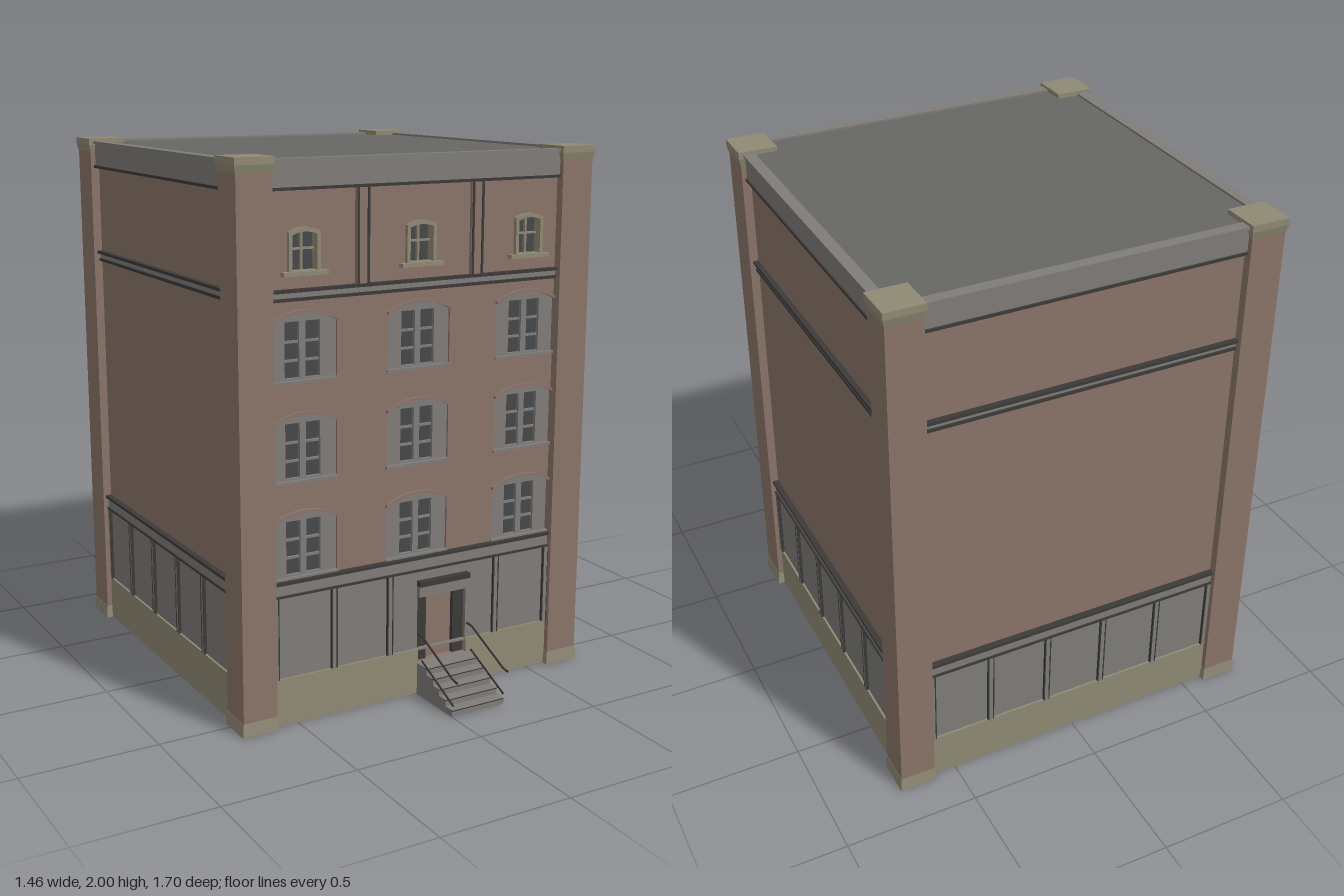
import * as THREE from 'three';

const mat = (color) => new THREE.MeshStandardMaterial({ color, roughness: 0.9, flatShading: true });
const brick = mat(0x8a7468), stone = mat(0x8f8a74), grey = mat(0x7f7c79);
const slate = mat(0x666664), dark = mat(0x3c3b39), iron = mat(0x333333), glass = mat(0x45484a);

const H = 0.69;      // half width of the square block, to the wall face
const INNER = 0.59;  // half width of a wall between the corner posts
const DOOR_X = 0.112;

function add(parent, name, geometry, material) {
  const m = new THREE.Mesh(geometry, material);
  m.name = name;
  parent.add(m);
  return m;
}

// box given by its limits on each axis
function block(parent, name, material, x0, x1, y0, y1, z0, z1) {
  const m = add(parent, name, new THREE.BoxGeometry(x1 - x0, y1 - y0, z1 - z0), material);
  m.position.set((x0 + x1) / 2, (y0 + y1) / 2, (z0 + z1) / 2);
  return m;
}

// rectangle whose top rises in a shallow arch
function archOutline(Type, cx, halfW, y0, ySide, yTop) {
  const s = new Type();
  s.moveTo(cx - halfW, y0);
  s.lineTo(cx + halfW, y0);
  s.lineTo(cx + halfW, ySide);
  if (yTop > ySide) s.quadraticCurveTo(cx, 2 * yTop - ySide, cx - halfW, ySide);
  else s.lineTo(cx - halfW, ySide);
  s.closePath();
  return s;
}

function slab(parent, name, material, shape, holes, z0, z1) {
  shape.holes = holes;
  const g = new THREE.ExtrudeGeometry(shape, { depth: z1 - z0, bevelEnabled: false, curveSegments: 8 });
  add(parent, name, g, material).position.z = z0;
}

// large arched window set in the wall
function archedWindow(parent, x, y) {
  const w = new THREE.Group();
  w.name = 'archedWindow';
  w.position.set(x, y, 0);
  const panes = [-1, 1].map((s) => archOutline(THREE.Path, s * 0.04, 0.028, 0.01, 0.205, 0.205));
  slab(w, 'windowSurround', grey, archOutline(THREE.Shape, 0, 0.13, 0, 0.2, 0.235), panes, 0.668, 0.682);
  block(w, 'windowGlass', glass, -0.08, 0.08, 0, 0.21, 0.655, 0.663);
  for (const by of [0.065, 0.13]) block(w, 'glazingBar', grey, -0.07, 0.07, by, by + 0.008, 0.663, 0.674);
  // thin hood following the arch
  const hood = new THREE.Shape();
  hood.moveTo(-0.133, 0.2);
  hood.quadraticCurveTo(0, 0.27, 0.133, 0.2);
  hood.lineTo(0.133, 0.21);
  hood.quadraticCurveTo(0, 0.282, -0.133, 0.21);
  hood.closePath();
  slab(w, 'windowHood', brick, hood, [], 0.67, 0.702);
  block(w, 'windowSill', grey, -0.133, 0.133, -0.006, 0.004, 0.67, 0.698);
  parent.add(w);
}

// small framed window of the top storey
function atticWindow(parent, x) {
  const w = new THREE.Group();
  w.name = 'atticWindow';
  w.position.set(x, 1.61, 0);
  const opening = archOutline(THREE.Path, 0, 0.047, 0.008, 0.128, 0.138);
  slab(w, 'atticFrame', stone, archOutline(THREE.Shape, 0, 0.06, 0, 0.138, 0.153), [opening], 0.665, 0.705);
  block(w, 'atticGlass', glass, -0.05, 0.05, 0, 0.14, 0.655, 0.668);
  block(w, 'atticMullion', stone, -0.004, 0.004, 0, 0.136, 0.668, 0.68);
  block(w, 'atticBar', stone, -0.05, 0.05, 0.076, 0.083, 0.668, 0.68);
  block(w, 'atticSill', stone, -0.085, 0.085, -0.008, 0.006, 0.67, 0.715);
  parent.add(w);
}

// mouldings shared by all four sides
function sideTrim(parent) {
  const bands = [
    ['lowerCornice', grey, 0.48, 0.53, 0.702], ['lowerCorniceEdge', dark, 0.478, 0.486, 0.708],
    ['lowerCorniceTop', dark, 0.526, 0.537, 0.713], ['upperBand', grey, 1.522, 1.555, 0.697],
    ['upperBandEdge', dark, 1.517, 1.528, 0.703], ['upperBandTop', dark, 1.547, 1.558, 0.71],
    ['parapet', grey, 1.89, 1.985, 0.705], ['parapetEdge', dark, 1.886, 1.896, 0.711],
    ['parapetCoping', grey, 1.98, 1.99, 0.713],
  ];
  for (const [name, m, y0, y1, z] of bands) block(parent, name, m, -INNER, INNER, y0, y1, 0.67, z);
  for (let i = 0; i < 6; i++) {
    if (parent.name === 'frontSide' && i === 3) continue; // the doorway takes this place
    const x = -0.583 + i * 0.2332;
    block(parent, 'panelStrip', grey, x - 0.011, x + 0.011, 0.175, 0.48, 0.67, 0.704);
    for (const s of [-1, 1]) block(parent, 'panelStripEdge', dark, x + s * 0.01 - 0.002, x + s * 0.01 + 0.002, 0.175, 0.48, 0.67, 0.706);
  }
}

function plainSide(parent) {
  block(parent, 'wall', brick, -0.66, 0.66, 0, 1.98, 0.66, H);
  block(parent, 'plinth', stone, -INNER, INNER, 0, 0.175, 0.68, 0.703);
  block(parent, 'lowerPanel', grey, -INNER, INNER, 0.17, 0.48, 0.68, 0.695);
}

function frontSide(parent) {
  const columns = [-0.462, 0, 0.462], rows = [0.54, 0.888, 1.24];
  const doorHole = () => archOutline(THREE.Path, DOOR_X, 0.107, 0.12, 0.385, 0.385);
  const holes = [doorHole()];
  for (const x of columns) {
    for (const y of rows) {
      holes.push(archOutline(THREE.Path, x, 0.13, y, y + 0.2, y + 0.235));
      archedWindow(parent, x, y);
    }
    holes.push(archOutline(THREE.Path, x, 0.052, 1.615, 1.742, 1.752));
    atticWindow(parent, x);
  }
  slab(parent, 'frontWall', brick, archOutline(THREE.Shape, 0, 0.66, 0, 1.98, 1.98), holes, 0.66, H);
  const doorGap = archOutline(THREE.Path, DOOR_X, 0.107, 0.172, 0.385, 0.385);
  slab(parent, 'lowerPanel', grey, archOutline(THREE.Shape, 0, INNER, 0.165, 0.48, 0.48), [doorGap], 0.68, 0.695);
  block(parent, 'plinthRight', stone, -INNER, DOOR_X - 0.107, 0, 0.175, 0.68, 0.703);
  block(parent, 'plinthLeft', stone, DOOR_X + 0.107, INNER, 0, 0.175, 0.68, 0.703);

  // door with dark side lights and a heavy lintel
  block(parent, 'door', brick, DOOR_X - 0.06, DOOR_X + 0.06, 0.12, 0.385, 0.64, 0.665);
  for (const s of [-1, 1]) {
    const x = DOOR_X + s * 0.083;
    block(parent, 'doorSideLight', dark, x - 0.024, x + 0.024, 0.12, 0.385, 0.64, 0.68);
  }
  block(parent, 'doorLintel', grey, DOOR_X - 0.11, DOOR_X + 0.11, 0.38, 0.42, 0.68, 0.715);
  block(parent, 'doorLintelTop', dark, DOOR_X - 0.11, DOOR_X + 0.11, 0.42, 0.44, 0.68, 0.72);

  // top storey pilasters
  for (const s of [-1, 1]) {
    const x = s * 0.235;
    block(parent, 'atticPilaster', brick, x - 0.026, x + 0.026, 1.558, 1.886, 0.68, 0.702);
    for (const t of [-1, 1]) block(parent, 'pilasterEdge', dark, x + t * 0.02 - 0.004, x + t * 0.02 + 0.004, 1.558, 1.886, 0.68, 0.706);
  }
}

// square column section that tapers from one half width to another
function taper(parent, name, material, top, bottom, y0, y1) {
  const g = new THREE.CylinderGeometry(top * Math.SQRT2, bottom * Math.SQRT2, y1 - y0, 4);
  g.rotateY(Math.PI / 4);
  add(parent, name, g, material).position.y = (y0 + y1) / 2;
}

function cornerPost(x, z) {
  const p = new THREE.Group();
  p.name = 'cornerPost';
  p.position.set(x, 0, z);
  taper(p, 'postShaft', brick, 0.066, 0.066, 0.04, 1.96);
  taper(p, 'postFoot', stone, 0.067, 0.072, 0, 0.05);
  taper(p, 'postCapital', stone, 0.073, 0.067, 1.95, 1.975);
  taper(p, 'postCap', stone, 0.073, 0.073, 1.975, 2);
  return p;
}

// entrance steps and sloping handrails, in the block's own frame
function entranceSteps() {
  const g = new THREE.Group();
  g.name = 'entranceSteps';
  const n = 5, x0 = DOOR_X - 0.11, x1 = DOOR_X + 0.115;
  for (let i = 0; i < n; i++) {
    const front = 0.94 - i * 0.043;
    block(g, 'step', grey, x0, x1, i * 0.024, (i + 1) * 0.024, 0.685, front);
    block(g, 'stepNosing', dark, x0, x1, (i + 1) * 0.024 - 0.004, (i + 1) * 0.024 - 0.001, front - 0.01, front + 0.002);
  }
  for (const x of [x0 + 0.003, x1 - 0.003]) {
    const rails = [[[0.972, 0.137], [0.94, 0.139], [0.73, 0.234], [0.7, 0.234]], [[0.945, 0.04], [0.73, 0.138]]];
    for (const pts of rails) {
      const path = new THREE.CurvePath();
      const v = pts.map(([z, y]) => new THREE.Vector3(x, y, z));
      for (let i = 1; i < v.length; i++) path.add(new THREE.LineCurve3(v[i - 1], v[i]));
      add(g, 'handrail', new THREE.TubeGeometry(path, 16, 0.004, 6), iron);
    }
  }
  return g;
}

export function createModel() {
  const model = new THREE.Group();
  model.name = 'townBuilding';
  const house = new THREE.Group();
  house.name = 'building';
  house.position.z = -0.122;
  model.add(house);

  // four walls around the square block
  ['frontSide', 'leftSide', 'backSide', 'rightSide'].forEach((name, i) => {
    const side = new THREE.Group();
    side.name = name;
    side.rotation.y = i * Math.PI / 2;
    if (i === 0) frontSide(side);
    else plainSide(side);
    sideTrim(side);
    house.add(side);
  });
  for (const x of [-1, 1]) for (const z of [-1, 1]) house.add(cornerPost(x * 0.657, z * 0.657));

  block(house, 'roof', slate, -H, H, 1.96, 1.982, -H, H);
  block(house, 'floor', dark, -0.662, 0.662, 0.115, 0.13, -0.662, 0.662);
  house.add(entranceSteps());
  return model;
}
